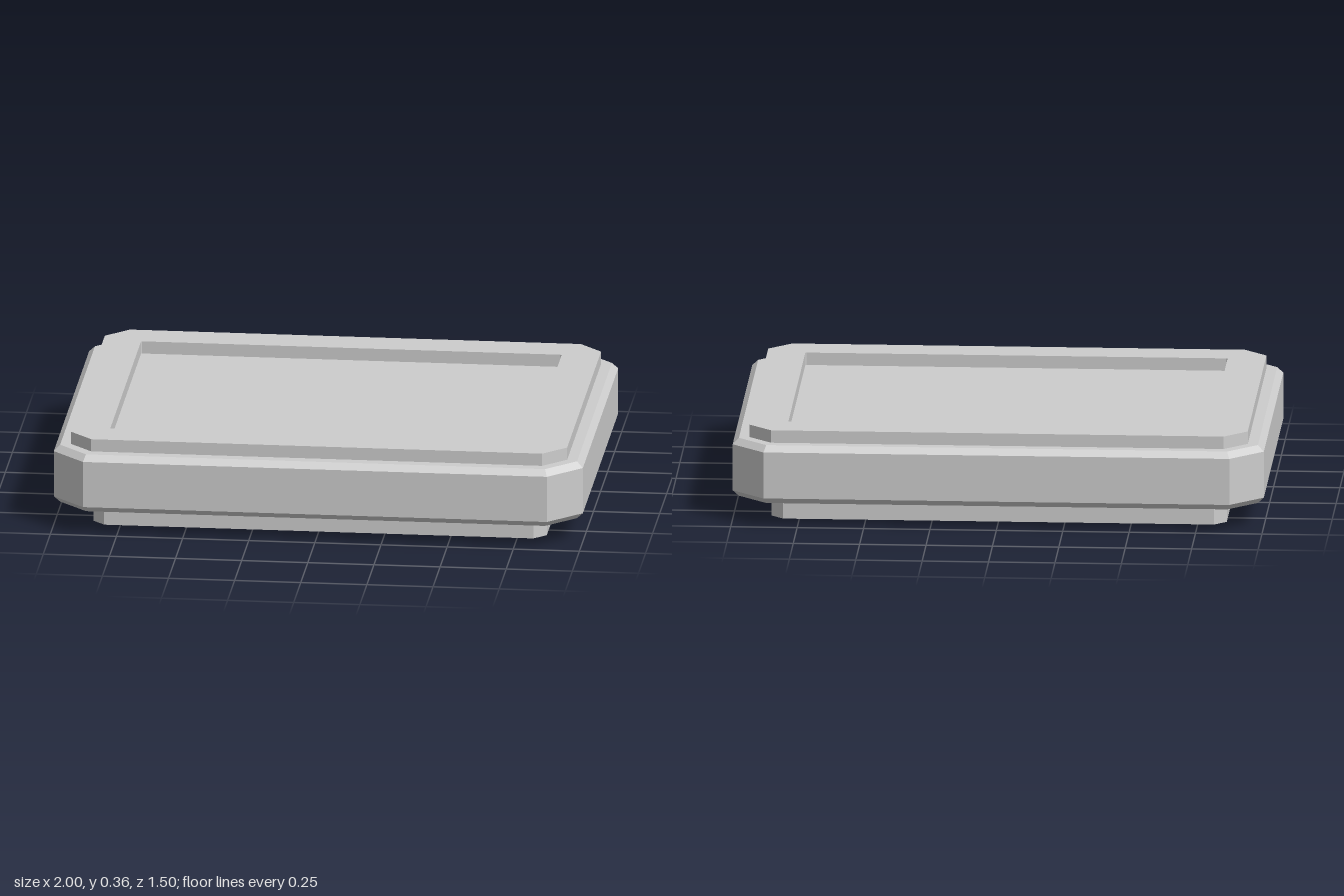
import * as THREE from 'three';

// Rectangle with cut corners, given half width, half depth and corner cut
function cutRect(PathClass, w, d, c) {
  const points = [
    [w - c, -d], [w, -d + c], [w, d - c], [w - c, d],
    [-w + c, d], [-w, d - c], [-w, -d + c], [-w + c, -d],
  ].map(([x, y]) => new THREE.Vector2(x, y));
  return new PathClass(points);
}

// Horizontal slab from y0 to y1, with an optional edge bevel and opening
function slab(name, shape, y0, y1, bevel, material) {
  const geometry = new THREE.ExtrudeGeometry(shape, {
    depth: y1 - y0 - 2 * bevel,
    bevelEnabled: bevel > 0,
    bevelThickness: bevel,
    bevelSize: bevel,
    bevelOffset: -bevel,
    bevelSegments: 1,
  });
  geometry.rotateX(-Math.PI / 2);
  geometry.translate(0, y0 + bevel, 0);
  const mesh = new THREE.Mesh(geometry, material);
  mesh.name = name;
  return mesh;
}

export function createModel() {
  const group = new THREE.Group();
  group.name = 'tray';
  const grey = new THREE.MeshStandardMaterial({ color: 0xcccccc, flatShading: true });
  grey.name = 'light grey';

  // Narrow foot under the body
  group.add(slab('foot', cutRect(THREE.Shape, 0.857, 0.61, 0.046), 0, 0.088, 0, grey));

  // Wide body with bevelled top and bottom edges; its top is the recess floor
  group.add(slab('body', cutRect(THREE.Shape, 1, 0.75, 0.123), 0.088, 0.312, 0.023, grey));

  // Raised rim around a rectangular recess
  const rim = cutRect(THREE.Shape, 0.938, 0.688, 0.086);
  rim.holes.push(cutRect(THREE.Path, 0.795, 0.547, 0.004));
  group.add(slab('rim', rim, 0.312, 0.36, 0, grey));

  return group;
}
